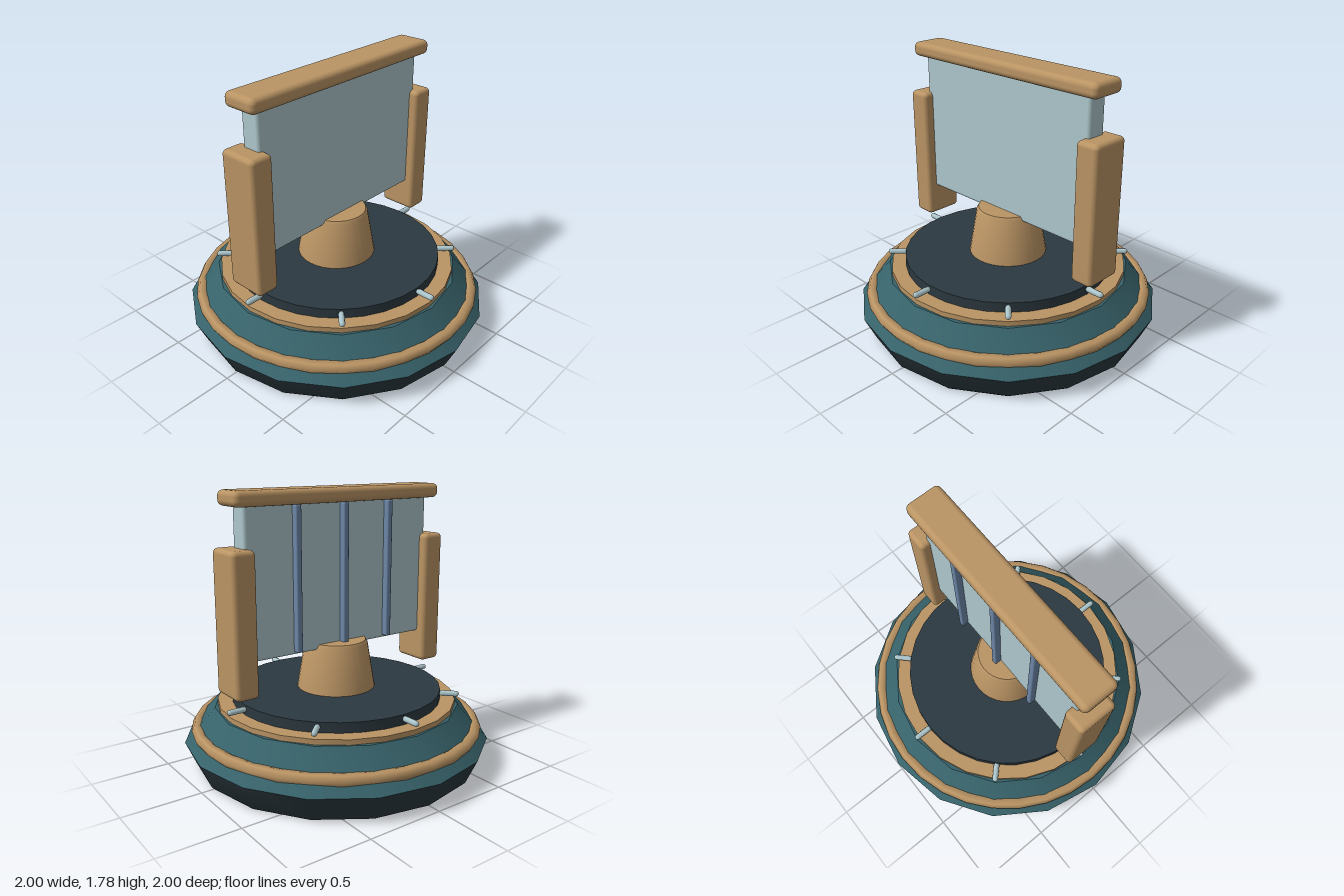
import * as THREE from 'three';
import { toCreasedNormals } from 'three/addons/utils/BufferGeometryUtils.js';
import { RoundedBoxGeometry } from 'three/addons/geometries/RoundedBoxGeometry.js';

function mat(name, color) {
  const m = new THREE.MeshStandardMaterial({ color });
  m.name = name;
  return m;
}

export function createModel() {
  const group = new THREE.Group();
  const brass = mat('brass', 0xba9464);
  const teal = mat('teal', 0x37626a);
  const dark = mat('dark slate', 0x2c3940);
  const pale = mat('pale blue', 0xaec8cd);
  const blue = mat('steel blue', 0x6c86a6);

  function add(name, geometry, material, x = 0, y = 0, z = 0) {
    const mesh = new THREE.Mesh(geometry, material);
    mesh.name = name;
    mesh.position.set(x, y, z);
    group.add(mesh);
    return mesh;
  }
  // Turned part from [radius, height] pairs, listed bottom to top
  function turned(name, profile, sides, material) {
    const points = profile.map(([r, y]) => new THREE.Vector2(r, y));
    return add(name, toCreasedNormals(new THREE.LatheGeometry(points, sides), 0.6), material);
  }
  // Box with rounded edges, centred at x, y, z
  function block(name, w, h, d, radius, material, x, y, z) {
    return add(name, new RoundedBoxGeometry(w, h, d, 3, radius), material, x, y, z);
  }

  // Stepped round base
  turned('foot', [[0, 0], [0.915, 0], [0.93, 0.015], [1, 0.17], [0, 0.17]], 16, dark);
  turned('baseBody', [[1, 0.17], [0.9, 0.28], [0.8, 0.392], [0, 0.392]], 16, teal);
  const ring = new THREE.TorusGeometry(0.915, 0.04, 6, 32).rotateX(Math.PI / 2);
  add('baseRing', ring, brass, 0, 0.246, 0);
  turned('upperRim', [[0.78, 0.38], [0.78, 0.425], [0, 0.425]], 24, brass);
  turned('topDisc', [[0.685, 0.42], [0.685, 0.49], [0, 0.49]], 32, dark);

  // Radial pins around the disc
  for (let i = 0; i < 8; i++) {
    const a = (i * Math.PI) / 4;
    const pin = new THREE.CapsuleGeometry(0.019, 0.09, 4, 8).rotateZ(Math.PI / 2);
    add('pin', pin, pale, 0.742 * Math.cos(a), 0.464, 0.742 * Math.sin(a)).rotation.y = -a;
  }

  // Pedestal
  turned('pedestal', [[0.257, 0.48], [0.206, 0.785], [0.193, 0.805], [0, 0.805]], 32, brass);

  // Upright panel with its cap and end posts
  block('panel', 0.135, 0.94, 1.39, 0.022, pale, 0, 1.24, 0);
  block('topBeam', 0.24, 0.093, 1.54, 0.035, brass, 0, 1.736, 0);
  for (const side of [-1, 1]) {
    block('endPost', 0.262, 0.888, 0.155, 0.03, brass, 0, 1.006, side * 0.727);
  }

  // Slats on the right face
  for (const z of [-0.35, 0, 0.35]) {
    block('slat', 0.05, 0.9, 0.04, 0.01, blue, -0.089, 1.24, z);
  }
  return group;
}
